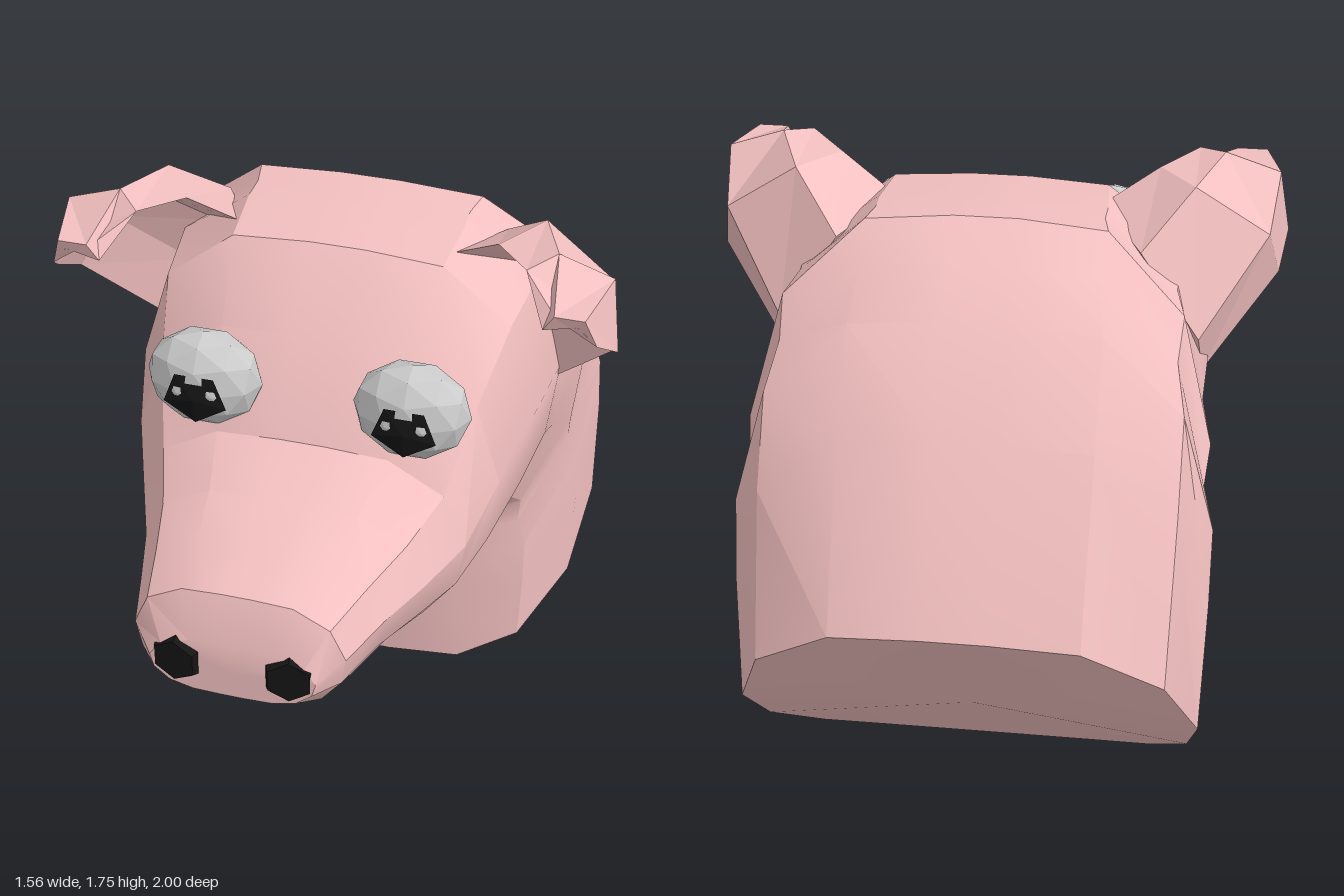
import * as THREE from 'three';
import { toCreasedNormals } from 'three/addons/utils/BufferGeometryUtils.js';

const skin = new THREE.MeshStandardMaterial({ color: 0xf2bfbf });
const earSkin = new THREE.MeshStandardMaterial({ color: 0xf2bfbf, flatShading: true, side: THREE.DoubleSide });
const eyeGrey = new THREE.MeshStandardMaterial({ color: 0xcccccc, flatShading: true });
const black = new THREE.MeshStandardMaterial({ color: 0x151515, flatShading: true });

// Skin a list of equal-length rings and close both ends with fans
function loft(rings, crease = 0.5) {
  const n = rings[0].length;
  const pos = rings.flat(2);
  const idx = [];
  for (let i = 0; i < rings.length - 1; i++) {
    for (let j = 0; j < n; j++) {
      const k = (j + 1) % n;
      const a = i * n + j, b = i * n + k, c = a + n, d = b + n;
      idx.push(a, b, c, b, d, c);
    }
  }
  [0, rings.length - 1].forEach((r, end) => {
    const centre = [0, 1, 2].map(k => rings[r].reduce((s, p) => s + p[k], 0) / n);
    const c = pos.length / 3;
    pos.push(...centre);
    for (let j = 0; j < n; j++) {
      const a = r * n + j, b = r * n + (j + 1) % n;
      idx.push(c, ...(end ? [a, b] : [b, a]));
    }
  });
  const g = new THREE.BufferGeometry();
  g.setAttribute('position', new THREE.Float32BufferAttribute(pos, 3));
  g.setIndex(idx);
  return toCreasedNormals(g, crease);
}

// Half outline as [width fraction, fraction from top to bottom]
const outline = [[0.14, 0], [0.52, 0.015], [0.86, 0.17], [1, 0.44], [0.95, 0.68], [0.76, 0.89], [0.48, 0.985], [0.13, 1]];

// Ring through a top and a bottom point; bz and by bow its sides back and down
function section([tz, ty, bz0, by0, w, bz = 0, by = 0]) {
  const half = outline.map(([f, t]) => {
    const bow = Math.sin(Math.PI * t);
    return [f * w, ty + (by0 - ty) * t + by * bow, tz + (bz0 - tz) * t + bz * bow];
  });
  return [...half, ...half.slice().reverse().map(([x, y, z]) => [-x, y, z])];
}

function add(parent, name, geometry, material) {
  const mesh = new THREE.Mesh(geometry, material);
  mesh.name = name;
  parent.add(mesh);
  return mesh;
}

// Ear ribs from root to folded tip, each running inner edge, back, outer edge
const earRibs = [
  [[0.28, 1.87, -0.06], [0.40, 1.84, -0.28], [0.56, 1.6, -0.29], [0.57, 1.45, -0.18]],
  [[0.43, 1.96, 0.0], [0.53, 1.97, -0.14], [0.73, 1.83, -0.11], [0.76, 1.68, -0.02]],
  [[0.53, 1.97, 0.12], [0.6, 1.99, 0.05], [0.75, 1.94, 0.05], [0.78, 1.75, 0.1]],
  [[0.6, 1.87, 0.23], [0.63, 1.92, 0.24], [0.71, 1.92, 0.24], [0.74, 1.83, 0.21]],
];

function earGeometry(side) {
  const rings = earRibs.map(([a, b, c, d]) => {
    // hollow front: the back points pulled part-way to the opening
    const inner = p => p.map((v, k) => v + ((a[k] + d[k]) / 2 - v) * 0.4);
    return [a, b, c, d, inner(c), inner(b)].map(([x, y, z]) => [x * side, y, z]);
  });
  return loft(rings);
}

export function createModel() {
  const model = new THREE.Group();
  model.name = 'pigHead';

  // Snout, skull and neck: top z, top y, bottom z, bottom y, half width, bow
  const headSections = [
    [0.985, 1.29, 0.99, 1.13, 0.22],
    [0.93, 1.41, 0.91, 1.07, 0.28],
    [0.74, 1.41, 0.74, 1.05, 0.33],
    [0.54, 1.42, 0.54, 0.98, 0.39],
    [0.37, 1.49, 0.38, 0.93, 0.455],
    [0.22, 1.73, 0.24, 0.9, 0.51],
    [0.03, 1.9, 0.05, 0.92, 0.56],
    [-0.15, 1.92, -0.1, 0.95, 0.585, -0.06],
    [-0.22, 1.925, -0.19, 0.84, 0.58, -0.13],
    [-0.3, 1.93, -0.28, 0.73, 0.61, -0.2],
    [-0.42, 1.85, -0.28, 0.64, 0.6, -0.2],
    [-0.55, 1.75, -0.28, 0.55, 0.63, -0.19],
    [-0.75, 1.52, -0.28, 0.41, 0.63, -0.13, -0.01],
    [-1.0, 1.08, -0.28, 0.24, 0.62, -0.05, -0.05],
  ];
  add(model, 'headAndNeck', loft(headSections.map(section)), skin);

  // Lower jaw
  const jawSections = [
    [0.75, 1.07, 0.74, 1.02, 0.2],
    [0.69, 1.09, 0.66, 0.925, 0.23],
    [0.5, 1.1, 0.5, 0.945, 0.3],
    [0.25, 1.1, 0.25, 0.91, 0.34],
  ];
  add(model, 'lowerJaw', loft(jawSections.map(section)), skin);

  for (const side of [1, -1]) {
    const label = side > 0 ? 'left' : 'right';

    add(model, label + 'Ear', earGeometry(side), earSkin);

    // Faceted eyeball with a five-sided pupil
    const eye = new THREE.Group();
    eye.name = label + 'Eye';
    eye.position.set(0.285 * side, 1.615, 0.31);
    eye.scale.set(0.16, 0.14, 0.105);
    const ball = new THREE.IcosahedronGeometry(1, 1);
    ball.rotateX(Math.atan(2 / (1 + Math.sqrt(5))));
    ball.rotateX(Math.PI / 2);
    add(eye, label + 'Eyeball', ball, eyeGrey);
    const pupil = new THREE.ConeGeometry(0.57, 0.16, 5);
    pupil.rotateX(Math.PI / 2);
    add(eye, label + 'Pupil', pupil, black).position.set(0, -0.08, 0.95);
    model.add(eye);

    // Nostril
    const nostril = new THREE.CylinderGeometry(0.062, 0.075, 0.03, 6);
    nostril.rotateX(Math.PI / 2);
    const hole = add(model, label + 'Nostril', nostril, black);
    hole.position.set(0.15 * side, 1.22, 0.982);
    hole.rotation.y = 0.15 * side;
  }

  return model;
}
